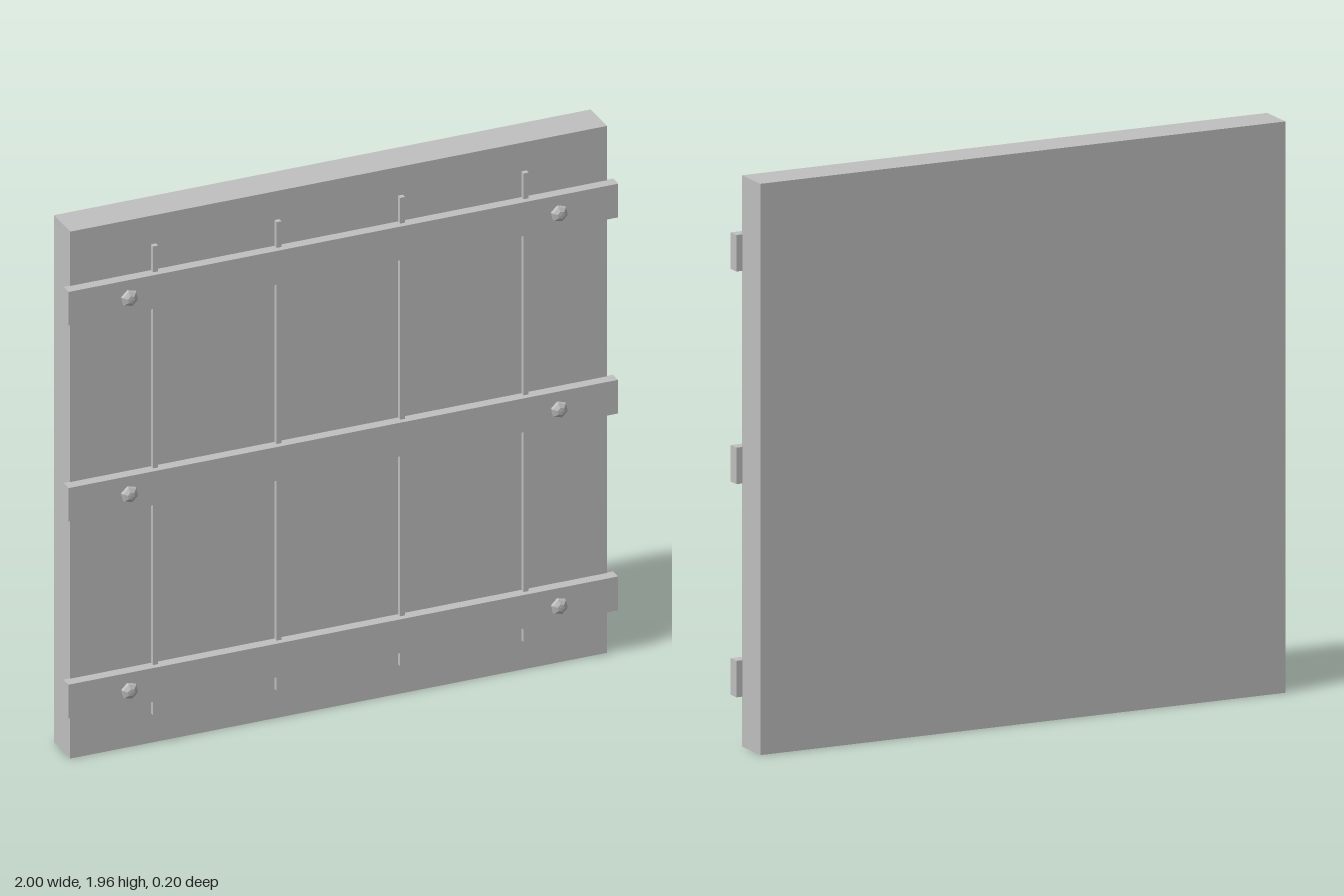
import * as THREE from 'three';

export function createModel() {
  const group = new THREE.Group();
  const grey = new THREE.MeshStandardMaterial({ color: 0xc0c0c0, flatShading: true });
  grey.name = 'plain grey';

  const add = (name, geometry, x, y, z) => {
    const mesh = new THREE.Mesh(geometry, grey);
    mesh.name = name;
    mesh.position.set(x, y, z);
    group.add(mesh);
    return mesh;
  };

  // Main slab
  add('panel', new THREE.BoxGeometry(1.954, 1.956, 0.135), 0, 0.978, -0.0325);

  // Thin vertical strips covering the plank joints
  const strip = new THREE.BoxGeometry(0.018, 1.74, 0.02);
  for (const x of [-0.674, -0.225, 0.225, 0.674]) add('jointStrip', strip, x, 0.98, 0.043);

  // Faceted six-sided bolt head, domed toward the front
  const profile = [[0.02, 0], [0.032, 0.01], [0.028, 0.018], [0.014, 0.027], [0, 0.028]];
  const bolt = new THREE.LatheGeometry(profile.map(([r, h]) => new THREE.Vector2(r, h)), 6);
  bolt.rotateX(Math.PI / 2);
  bolt.rotateZ(0.25);

  // Cross rails, each held by two bolts
  const rail = new THREE.BoxGeometry(2, 0.125, 0.042);
  for (const y of [0.234, 0.964, 1.692]) {
    add('crossRail', rail, 0, y, 0.053);
    for (const side of [-1, 1]) add('boltHead', bolt, side * 0.782, y, 0.072);
  }
  return group;
}
